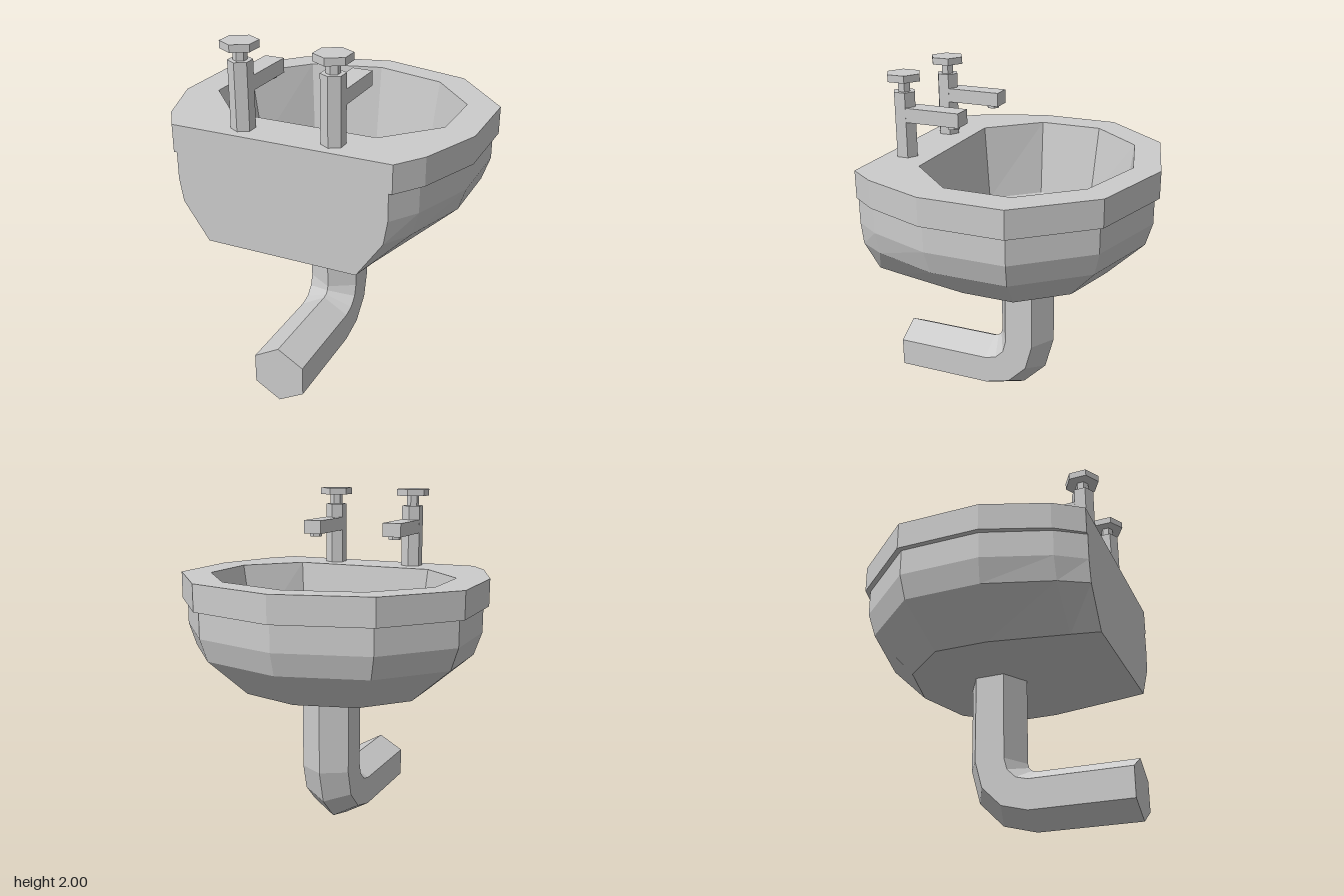
import * as THREE from 'three';

const mat = new THREE.MeshStandardMaterial({ color: 0xcccccc, flatShading: true });

function part(name, geometry, x = 0, y = 0, z = 0) {
  const mesh = new THREE.Mesh(geometry, mat);
  mesh.name = name;
  mesh.position.set(x, y, z);
  return mesh;
}

// Skin over rings of equal length, each counter-clockwise seen from the end of the loft
function loft(rings, capStart, capEnd) {
  const pos = [];
  const tri = (...points) => points.forEach((p) => pos.push(p.x, p.y, p.z));
  const n = rings[0].length;
  for (let i = 0; i < rings.length - 1; i++) {
    for (let j = 0; j < n; j++) {
      const k = (j + 1) % n;
      const a = rings[i][j], b = rings[i][k], c = rings[i + 1][k], d = rings[i + 1][j];
      tri(a, b, c);
      tri(a, c, d);
    }
  }
  const cap = (ring, flip) => {
    const mid = ring.reduce((s, p) => s.add(p), new THREE.Vector3()).divideScalar(n);
    ring.forEach((p, j) => {
      const q = ring[(j + 1) % n];
      if (flip) tri(mid, q, p);
      else tri(mid, p, q);
    });
  };
  if (capStart) cap(rings[0], true);
  if (capEnd) cap(rings[rings.length - 1], false);
  const g = new THREE.BufferGeometry();
  g.setAttribute('position', new THREE.Float32BufferAttribute(pos, 3));
  g.computeVertexNormals();
  return g;
}

// Closed symmetric outline from its +x half, listed from z min to z max
function mirrorRing(half, y) {
  const left = half.map(([x, z]) => new THREE.Vector3(-x, y, z));
  const right = half.slice(1).reverse().map(([x, z]) => new THREE.Vector3(x, y, z));
  return [...left, ...right];
}

const rimHalf = [[0, -0.785], [0.53, -0.64], [0.863, -0.25], [0.863, 0.22], [0.73, 0.575], [0.62, 0.73]];
const openingHalf = [[0, -0.63], [0.42, -0.515], [0.685, -0.21], [0.685, 0.165], [0.42, 0.45]];
const lowerBowlHalf = [[0, -0.572], [0.385, -0.465], [0.61, -0.19], [0.61, 0.145], [0.385, 0.405]];
const floorHalf = [[0, -0.43], [0.28, -0.355], [0.45, -0.155], [0.45, 0.095], [0.285, 0.285]];

// The outer body narrows downward while its back stays flat against the wall
function bodyRing(y, scale, backScale) {
  return mirrorRing(rimHalf.map(([x, z], i) => {
    if (i === 5) return [x * backScale, z];
    return [x * scale, i === 4 ? z : z * scale];
  }), y);
}

function createBasin() {
  const basin = new THREE.Group();
  basin.name = 'basin';
  basin.add(part('outerBody', loft([
    bodyRing(0.89, 0.64, 0.7),
    bodyRing(1.1, 0.915, 0.935),
    bodyRing(1.23, 0.965, 0.97),
    bodyRing(1.38, 0.965, 0.97),
    bodyRing(1.38, 1, 1),
    bodyRing(1.535, 1, 1),
  ], true, false)));
  basin.add(part('innerBowl', loft([
    mirrorRing(openingHalf, 1.535),
    mirrorRing(lowerBowlHalf, 1.09),
    mirrorRing(floorHalf, 0.94),
  ], false, true)));

  // Flat top of the rim around the opening
  const flat = (half) => mirrorRing(half, 0).map((p) => new THREE.Vector2(p.x, -p.z));
  const top = new THREE.Shape(flat(rimHalf));
  top.holes.push(new THREE.Path(flat(openingHalf)));
  basin.add(part('rimTop', new THREE.ShapeGeometry(top).rotateX(-Math.PI / 2), 0, 1.535, 0));
  return basin;
}

// Hexagonal drain: down from the basin, round a bend and out to the wall
function createDrain() {
  const r = 0.17, bend = 0.22;
  const ring = (angle, dy = 0, dz = 0) => {
    const out = new THREE.Vector3(0, -Math.cos(angle), -Math.sin(angle));
    const centre = new THREE.Vector3(0, 0.39 + dy, 0.205 + dz).addScaledVector(out, bend);
    return Array.from({ length: 6 }, (_, k) => {
      const a = Math.PI / 6 + k * Math.PI / 3;
      const p = centre.clone().addScaledVector(out, r * Math.sin(a));
      p.x += r * Math.cos(a);
      return p;
    });
  };
  const rings = [ring(0, 0, 0.58)];
  for (let i = 0; i <= 3; i++) rings.push(ring(i * Math.PI / 6));
  rings.push(ring(Math.PI / 2, 0.5));
  return part('drainPipe', loft(rings, true, true));
}

function createTap(x, name) {
  const tap = new THREE.Group();
  tap.name = name;
  const hex = (radius, height) => new THREE.CylinderGeometry(radius, radius, height, 6);
  tap.add(
    part('post', hex(0.065, 0.365), 0, 1.7175, 0.612),
    part('stem', hex(0.037, 0.06), 0, 1.93, 0.612),
    part('handle', hex(0.1, 0.04), 0, 1.98, 0.612),
    part('spout', new THREE.BoxGeometry(0.112, 0.08, 0.34), 0, 1.777, 0.43),
    part('nozzle', new THREE.CylinderGeometry(0.037, 0.037, 0.02, 6), 0, 1.728, 0.315),
  );
  tap.position.x = x;
  return tap;
}

export function createModel() {
  const model = new THREE.Group();
  model.name = 'washbasin';
  model.add(createBasin(), createDrain(), createTap(0.257, 'leftTap'), createTap(-0.257, 'rightTap'));
  return model;
}
